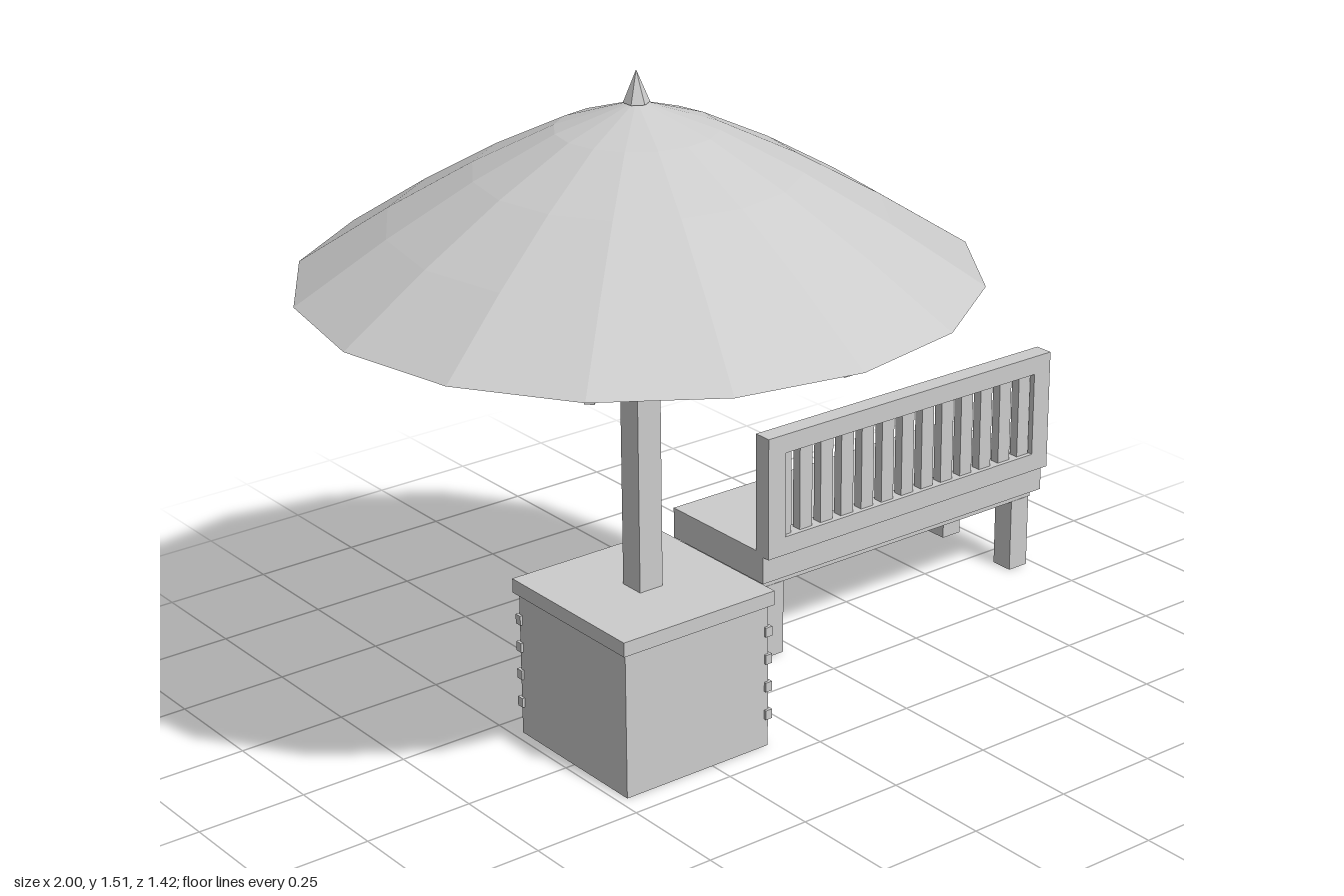
import * as THREE from 'three';

const grey = new THREE.MeshStandardMaterial({ color: 0xcccccc, flatShading: true });

function add(parent, name, geometry, x = 0, y = 0, z = 0) {
  const mesh = new THREE.Mesh(geometry, grey);
  mesh.name = name;
  mesh.position.set(x, y, z);
  parent.add(mesh);
  return mesh;
}

// Box given by its [min, max] range on each axis
function box(parent, name, [x0, x1], [y0, y1], [z0, z1]) {
  return add(parent, name, new THREE.BoxGeometry(x1 - x0, y1 - y0, z1 - z0),
    (x0 + x1) / 2, (y0 + y1) / 2, (z0 + z1) / 2);
}

function createParasol() {
  const g = new THREE.Group();
  g.name = 'parasol';

  // Weighted base with cap and slats on two sides
  box(g, 'base', [-0.19, 0.19], [0, 0.337], [-0.19, 0.19]);
  box(g, 'baseCap', [-0.2, 0.2], [0.337, 0.37], [-0.2, 0.2]);
  for (const y of [0.077, 0.144, 0.21, 0.275]) {
    const span = [y - 0.011, y + 0.011];
    box(g, 'sideSlat', [0.18, 0.197], span, [-0.196, 0.196]);
    box(g, 'backSlat', [-0.196, 0.196], span, [-0.197, -0.18]);
  }

  box(g, 'pole', [-0.03, 0.03], [0.37, 1.08], [-0.03, 0.03]);

  // Sixteen-sided canopy, closed underneath
  const rim = 0.712, bottom = 1.075, top = 1.447;
  const profile = [new THREE.Vector2(0, bottom)];
  for (const r of [rim, 0.52, 0.34, 0.17, 0]) {
    profile.push(new THREE.Vector2(r, top - (top - bottom) * (r / rim) ** 1.3));
  }
  add(g, 'canopy', new THREE.LatheGeometry(profile, 16));

  // Eight ribs below the canopy
  for (let i = 0; i < 8; i++) {
    const rib = new THREE.BoxGeometry(0.665, 0.02, 0.02).translate(0.3325, 0, 0);
    add(g, 'rib', rib, 0, 1.063, 0).rotation.y = i * Math.PI / 4;
  }

  add(g, 'finial', new THREE.ConeGeometry(0.028, 0.068, 6), 0, 1.476, 0);
  return g;
}

function createBench() {
  const g = new THREE.Group();
  g.name = 'bench';

  // Seat, apron and legs
  box(g, 'seat', [0.14, 1], [0.2, 0.275], [-0.45, -0.12]);
  box(g, 'apron', [0.155, 0.985], [0.179, 0.2], [-0.43, -0.14]);
  for (const x of [0.16, 0.925]) {
    for (const z of [-0.435, -0.195]) {
      box(g, 'leg', [x, x + 0.055], [0, 0.18], [z, z + 0.056]);
    }
  }

  // Backrest frame with a rectangular opening
  const frame = new THREE.Shape();
  frame.moveTo(0.14, 0.266).lineTo(1, 0.266).lineTo(1, 0.56).lineTo(0.14, 0.56).closePath();
  const hole = new THREE.Path();
  hole.moveTo(0.19, 0.31).lineTo(0.19, 0.515).lineTo(0.95, 0.515).lineTo(0.95, 0.31).closePath();
  frame.holes.push(hole);
  add(g, 'backrestFrame',
    new THREE.ExtrudeGeometry(frame, { depth: 0.045, bevelEnabled: false }), 0, 0, -0.146);

  // Upright slats in the opening
  for (let i = 0; i < 13; i++) {
    const x = 0.197 + i * 0.061;
    box(g, 'backrestSlat', [x - 0.018, x + 0.018], [0.3, 0.525], [-0.136, -0.112]);
  }
  return g;
}

export function createModel() {
  const model = new THREE.Group();
  model.name = 'parasolAndBench';
  const parasol = createParasol();
  parasol.position.x = -0.288;
  model.add(parasol, createBench());
  return model;
}
